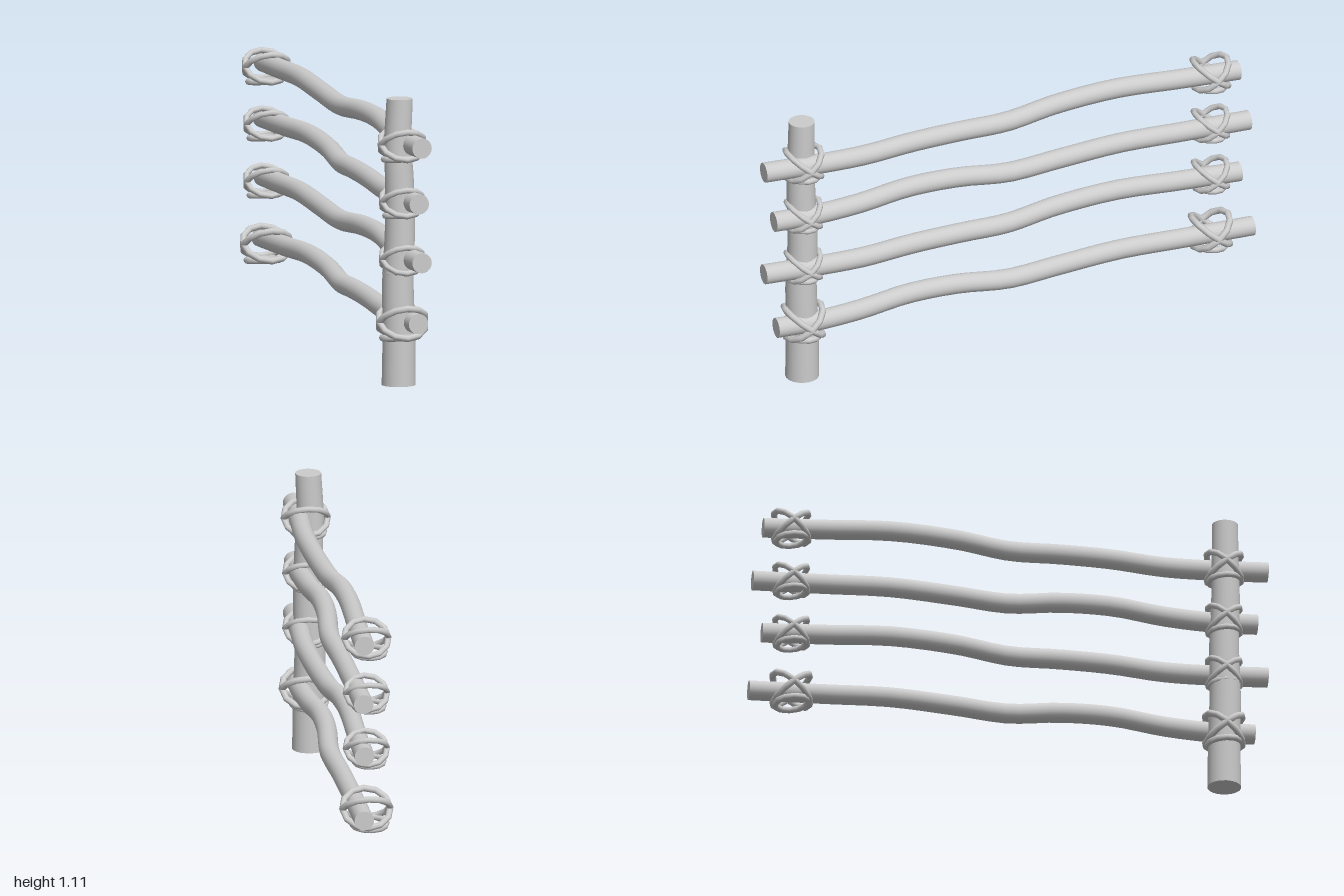
import * as THREE from 'three';

const material = new THREE.MeshStandardMaterial({ color: 0xcccccc, side: THREE.DoubleSide });

// Round rod bent along a list of centre points, tapering from r0 to r1
function bentRod(name, points, r0, r1, alongZ) {
  const curve = new THREE.CatmullRomCurve3(points.map(p => new THREE.Vector3(...p)));
  const geo = new THREE.CylinderGeometry(1, 1, 1, 20, 32);
  const pos = geo.attributes.position;
  for (let i = 0; i < pos.count; i++) {
    const t = THREE.MathUtils.clamp(pos.getY(i) + 0.5, 0, 1);
    const r = THREE.MathUtils.lerp(r0, r1, t);
    pos.setXYZ(i, pos.getX(i) * r, 0, pos.getZ(i) * r);
  }
  // Remember t through the ring order before turning the rod
  const ts = new THREE.CylinderGeometry(1, 1, 1, 20, 32).attributes.position;
  if (alongZ) geo.rotateX(Math.PI / 2);
  for (let i = 0; i < pos.count; i++) {
    const c = curve.getPoint(THREE.MathUtils.clamp(ts.getY(i) + 0.5, 0, 1));
    pos.setXYZ(i, pos.getX(i) + c.x, pos.getY(i) + c.y, pos.getZ(i) + c.z);
  }
  const mesh = new THREE.Mesh(geo, material);
  mesh.name = name;
  return mesh;
}

// Rope lashing: two crossed loops and a flatter loop below
function lashing(y, z, scale) {
  const group = new THREE.Group();
  group.name = 'ropeLashing';
  const loop = (name, radius, tube, tilt, x, dy) => {
    const geo = new THREE.TorusGeometry(radius, tube, 8, 12);
    geo.rotateX(Math.PI / 2 + tilt);
    const mesh = new THREE.Mesh(geo, material);
    mesh.position.set(x, dy, 0);
    mesh.name = name;
    group.add(mesh);
  };
  loop('crossLoopA', 0.085, 0.012, 0.68, 0, 0);
  loop('crossLoopB', 0.085, 0.012, -0.68, 0, 0);
  loop('lowerLoop', 0.06, 0.012, -0.1, -0.011, -0.057);
  group.position.set(0, y, z);
  group.scale.setScalar(scale);
  return group;
}

export function createModel() {
  const model = new THREE.Group();
  model.name = 'fence';

  // Upright post
  const postZ = 0.828;
  model.add(bentRod('post', [
    [-0.013, 0, postZ], [-0.012, 0.2, postZ], [-0.017, 0.4, postZ + 0.003], [-0.008, 0.6, postZ],
    [-0.012, 0.8, postZ + 0.005], [-0.018, 0.92, postZ + 0.003], [-0.01, 1.105, postZ + 0.003],
  ], 0.065, 0.05, false));

  // Rail wobble: z, x, height above the rail's base
  const wobble = [
    [1, 0.025, 0], [0.8, 0.028, -0.004], [0.6, 0.04, 0.003], [0.4, 0.05, 0.027], [0.2, 0.045, 0.032],
    [0, 0.025, 0.024], [-0.2, 0.01, 0.05], [-0.45, 0.01, 0.069], [-0.7, 0.017, 0.062], [-1, 0.022, 0.056],
  ];
  // Rails: base height, front end, back end, lashing size
  const rails = [
    [0.249, 0.95, -1, 1.08], [0.491, 1, -0.95, 0.94], [0.712, 0.96, -0.985, 0.94], [0.933, 1, -0.945, 1],
  ];
  rails.forEach(([y, front, back, size], i) => {
    const points = wobble.map(([z, x, dy]) => [
      i % 2 ? x : 0.052 - x, // alternate rails bow the other way
      y + dy,
      THREE.MathUtils.clamp(z, back, front),
    ]);
    points.reverse();
    model.add(bentRod('rail', points, 0.038, 0.039, true));
    model.add(lashing(y - 0.005, postZ, size));
    model.add(lashing(y + 0.055, -0.84, size));
  });
  return model;
}
